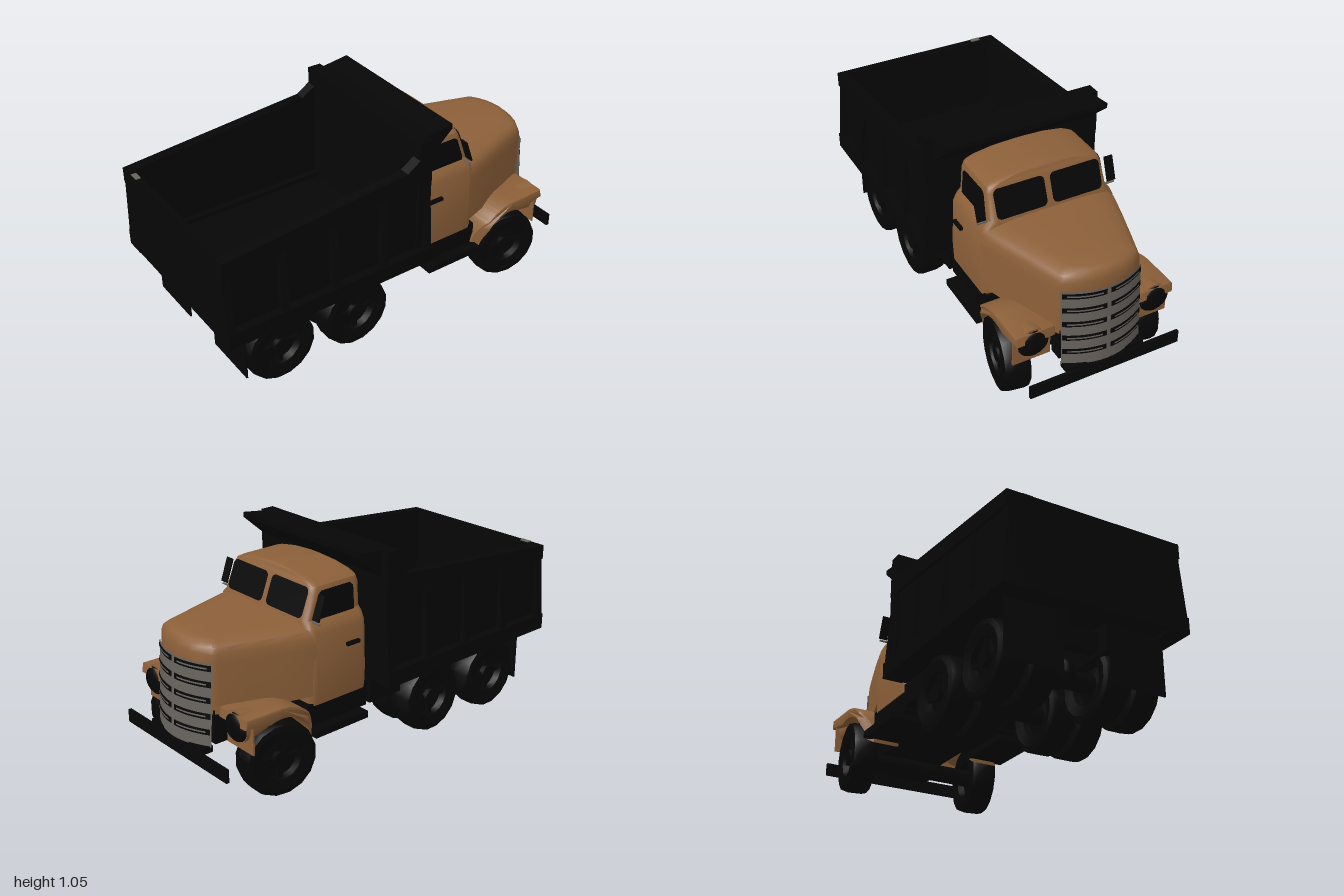
import * as THREE from 'three';
import { toCreasedNormals } from 'three/addons/utils/BufferGeometryUtils.js';

const mat = (name, color) => new THREE.MeshStandardMaterial({ name, color, side: THREE.DoubleSide });

export function createModel() {
  const truck = new THREE.Group();
  truck.name = 'dumpTruck';
  const paint = mat('tanPaint', 0x8c6039);
  const black = mat('black', 0x060606);
  const grey = mat('grilleGrey', 0x67635d);

  const add = (name, geo, material, x = 0, y = 0, z = 0, parent = truck) => {
    const m = new THREE.Mesh(geo, material);
    m.name = name;
    m.position.set(x, y, z);
    parent.add(m);
    return m;
  };
  // Box given by its limits
  const box = (name, m, x0, x1, y0, y1, z0, z1) =>
    add(name, new THREE.BoxGeometry(x1 - x0, y1 - y0, z1 - z0), m, (x0 + x1) / 2, (y0 + y1) / 2, (z0 + z1) / 2);
  const shapeOf = (pts) => new THREE.Shape(pts.map(([x, y]) => new THREE.Vector2(x, y)));
  // Side profile extruded across z
  const slab = (name, m, pts, z0, z1) =>
    add(name, new THREE.ExtrudeGeometry(shapeOf(pts), { depth: z1 - z0, bevelEnabled: false }), m, 0, 0, z0);
  // Run for both sides of the truck
  const both = (fn) => [1, -1].forEach(fn);
  const sided = (s, a, b) => (s > 0 ? [a, b] : [-b, -a]);

  // Closed body from stacked horizontal rings, counter-clockwise seen from above
  const stack = (rings, crown) => {
    const n = rings[0].length, pos = rings.flat(2), idx = [], L = rings.length;
    for (let i = 0; i < L - 1; i++) for (let j = 0; j < n; j++) {
      const k = (j + 1) % n, a = i * n + j, b = i * n + k, c = a + n, d = b + n;
      idx.push(a, b, d, a, d, c);
    }
    const mid = (r, dy) => [(r[0][0] + r[n >> 1][0]) / 2, r[0][1] + dy, 0];
    pos.push(...mid(rings[0], 0), ...mid(rings[L - 1], crown));
    for (let j = 0; j < n; j++) {
      const k = (j + 1) % n, t = (L - 1) * n;
      idx.push(L * n, k, j, L * n + 1, t + j, t + k);
    }
    const g = new THREE.BufferGeometry();
    g.setAttribute('position', new THREE.Float32BufferAttribute(pos, 3));
    g.setIndex(idx);
    return toCreasedNormals(g, 0.6);
  };

  // Cab: rounded rectangles, [y, back, front, half width]
  const cabLayers = [[0.35, 0.13, 0.475, 0.35], [0.45, 0.13, 0.475, 0.355], [0.69, 0.13, 0.472, 0.347],
    [0.725, 0.13, 0.47, 0.33], [0.75, 0.13, 0.465, 0.306], [0.87, 0.13, 0.419, 0.298], [0.895, 0.133, 0.41, 0.288],
    [0.912, 0.138, 0.402, 0.255], [0.928, 0.142, 0.396, 0.17], [0.938, 0.15, 0.388, 0.06]];
  const roundRing = ([y, xb, xf, w]) => {
    const ring = [], r = Math.min(0.035, w / 2);
    [[xf - r, -w + r, 0], [xb + r, -w + r, 1], [xb + r, w - r, 2], [xf - r, w - r, 3]].forEach(([cx, cz, q]) => {
      for (let i = 0; i <= 4; i++) {
        const a = (q + i / 4) * Math.PI / 2;
        ring.push([cx + r * Math.cos(a), y, cz - r * Math.sin(a)]);
      }
    });
    return ring;
  };
  add('cab', stack(cabLayers.map(roundRing), 0.003), paint);

  // Hood: tapering plan with a rounded nose, [y, width scale, nose setback]
  const plan = [[0.44, 0.35], [0.47, 0.345], [0.6, 0.305], [0.75, 0.255], [0.88, 0.21], [0.9, 0.2],
    [0.928, 0.15], [0.948, 0.09], [0.957, 0]];
  const fullPlan = [...plan, ...plan.slice(0, -1).reverse().map(([x, z]) => [x, -z])];
  const hoodLayers = [[0.4, 1, 0], [0.64, 1, 0], [0.685, 0.985, 0.002], [0.712, 0.94, 0.01], [0.728, 0.85, 0.024],
    [0.737, 0.65, 0.045], [0.741, 0.35, 0.07]];
  add('hood', stack(hoodLayers.map(([y, s, d]) =>
    fullPlan.map(([x, z]) => [x - d * (x - 0.44) / 0.52, y, z * s])), 0.003), paint);

  // Grille: bowed, leaning panel with slots
  const grillePatch = (y0, y1, z0, z1, out) => {
    const g = new THREE.PlaneGeometry(1, 1, 12, 4), p = g.attributes.position;
    for (let i = 0; i < p.count; i++) {
      const z = z1 - (p.getX(i) + 0.5) * (z1 - z0), y = y0 + (p.getY(i) + 0.5) * (y1 - y0);
      p.setXYZ(i, 0.968 + out + (0.64 - y) * 0.07 - 0.06 * (z / 0.2) ** 2, y, z);
    }
    g.computeVertexNormals();
    return g;
  };
  add('grille', grillePatch(0.25, 0.645, -0.205, 0.205, 0), grey);
  box('radiator', black, 0.84, 0.905, 0.255, 0.42, -0.2, 0.2);
  for (let i = 0; i < 5; i++) both((s) => {
    const y = 0.324 + i * 0.075;
    const [a, b] = sided(s, 0.01, 0.202);
    add('grilleSlot', grillePatch(y - 0.014, y + 0.014, a, b, 0.004), black);
    const [c, d] = sided(s, 0.03, 0.185);
    add('grilleBar', grillePatch(y - 0.004, y + 0.004, c, d, 0.007), grey);
  });

  const roundPane = (x0, x1, y0, y1, r) => {
    const s = new THREE.Shape();
    s.absarc(x1 - r, y1 - r, r, 0, Math.PI / 2);
    s.absarc(x0 + r, y1 - r, r, Math.PI / 2, Math.PI);
    s.absarc(x0 + r, y0 + r, r, Math.PI, Math.PI * 1.5);
    s.absarc(x1 - r, y0 + r, r, Math.PI * 1.5, Math.PI * 2);
    return s;
  };
  both((s) => {
    // Windscreen panes lie on the sloping cab front
    const [a, b] = sided(s, 0.015, 0.274);
    const g = new THREE.ShapeGeometry(roundPane(a, b, 0.757, 0.893, 0.025)).rotateY(Math.PI / 2);
    const p = g.attributes.position;
    for (let i = 0; i < p.count; i++) p.setX(i, 0.47 - (p.getY(i) - 0.75) * 0.383);
    g.computeVertexNormals();
    add('windscreenPane', g, black);

    // Side window, door handle, mirror
    const w = new THREE.ShapeGeometry(shapeOf([[0.18, 0.747], [0.417, 0.747], [0.417, 0.77], [0.388, 0.865],
      [0.37, 0.878], [0.2, 0.878], [0.18, 0.86]]));
    const q = w.attributes.position;
    for (let i = 0; i < q.count; i++) q.setZ(i, s * (0.311 - (q.getY(i) - 0.75) * 0.068));
    w.computeVertexNormals();
    add('sideWindow', w, black);
    box('doorHandle', black, 0.19, 0.265, 0.597, 0.613, ...sided(s, 0.345, 0.366));
    box('mirror', black, 0.413, 0.421, 0.755, 0.875, ...sided(s, 0.318, 0.362)).rotation.z = 0.34;
    box('mirrorArm', grey, 0.425, 0.435, 0.742, 0.748, ...sided(s, 0.3, 0.36));

    // Step below the door
    box('cabSill', black, 0.13, 0.49, 0.25, 0.36, ...sided(s, 0.14, 0.345));
    box('step', black, 0.17, 0.49, 0.215, 0.25, ...sided(s, 0.2, 0.4));

    // Front fender arch, drawn in towards the cab at its rear end
    const f = new THREE.Shape();
    f.moveTo(0.475, 0.225);
    f.absarc(0.7, 0.21, 0.22, Math.PI, Math.PI / 2, true);
    f.lineTo(0.875, 0.432);
    f.lineTo(0.88, 0.405);
    f.lineTo(0.76, 0.385);
    f.absarc(0.69, 0.2, 0.195, Math.PI * 0.4, Math.PI * 0.96, false);
    const fg = new THREE.ExtrudeGeometry(f, { depth: 0.18, bevelThickness: 0.01, bevelSize: 0.01, bevelSegments: 2, curveSegments: 14 });
    fg.translate(0, 0, s > 0 ? 0.22 : -0.4);
    const fp = fg.attributes.position;
    for (let i = 0; i < fp.count; i++) {
      const limit = 0.345 + Math.max(0, fp.getX(i) - 0.465) * 0.8;
      fp.setZ(i, s * Math.min(Math.abs(fp.getZ(i)), limit));
    }
    add('fender', toCreasedNormals(fg, 0.7), paint);
    box('fenderFront', paint, 0.843, 0.851, 0.26, 0.42, ...sided(s, 0.215, 0.405));
    // Headlight in its pod
    add('headlightPod', new THREE.CylinderGeometry(0.078, 0.055, 0.15, 20).rotateZ(-Math.PI / 2), paint, 0.8, 0.377, s * 0.316);
    add('headlight', new THREE.SphereGeometry(0.076, 20, 10).scale(0.33, 0.9, 1), black, 0.875, 0.377, s * 0.316);
  });

  // Chassis and bumper
  both((s) => {
    box('chassisRail', black, -0.9, 0.93, 0.25, 0.38, ...sided(s, 0.1, 0.16));
    box('sideTank', black, -0.08, 0.12, 0.26, 0.375, ...sided(s, 0.18, 0.36));
    box('mudFlap', black, -0.892, -0.884, 0.1, 0.38, ...sided(s, 0.12, 0.41));
  });
  box('bumper', black, 0.974, 0.99, 0.17, 0.235, -0.39, 0.39);
  box('bumperBracket', black, 0.92, 0.98, 0.225, 0.255, -0.2, 0.2);
  box('engine', black, 0.4, 0.88, 0.25, 0.42, -0.17, 0.17);
  box('gearbox', black, 0.12, 0.4, 0.25, 0.36, -0.1, 0.1);
  for (const x of [-0.8, -0.48, -0.1]) box('crossMember', black, x - 0.03, x + 0.03, 0.27, 0.36, -0.16, 0.16);
  const shaft = add('driveShaft', new THREE.CylinderGeometry(0.02, 0.02, 0.95, 8), black, -0.2, 0.275, 0);
  shaft.rotation.z = Math.PI / 2;

  // Wheels, resting on a flat facet
  const profile = [[0.04, 0.03], [0.095, 0.02], [0.1, 0.055], [0.15, 0.067], [0.174, 0.06], [0.181, 0.035]];
  const tyreCurve = [...profile.map(([r, y]) => [r, -y]), ...profile.slice().reverse()].map(([r, y]) => new THREE.Vector2(r, y));
  const tyre = toCreasedNormals(new THREE.LatheGeometry(tyreCurve, 16).rotateX(Math.PI / 2).rotateZ(Math.PI / 16), 0.5);
  const wheel = (name, x, z, s, steer = 0) => {
    const g = new THREE.Group();
    g.name = name;
    g.position.set(x, 0.178, z);
    g.rotation.y = steer;
    add('tyre', tyre, black, 0, 0, 0, g);
    add('hub', new THREE.CylinderGeometry(0.042, 0.042, 0.1, 12).rotateX(Math.PI / 2), black, 0, 0, s * 0.005, g);
    for (let i = 0; i < 4; i++) {
      const a = i * Math.PI / 2;
      const lug = add('rimSpoke', new THREE.BoxGeometry(0.055, 0.025, 0.03), black, 0.068 * Math.cos(a), 0.068 * Math.sin(a), s * 0.025, g);
      lug.rotation.z = a;
    }
    truck.add(g);
  };
  const axle = (x) => add('axle', new THREE.CylinderGeometry(0.045, 0.045, 0.6, 10).rotateX(Math.PI / 2), black, x, 0.178, 0);
  for (const x of [-0.69, -0.27]) {
    both((s) => {
      wheel('rearInnerWheel', x, s * 0.186, s);
      wheel('rearOuterWheel', x, s * 0.342, s);
    });
    axle(x);
    add('differential', new THREE.SphereGeometry(0.07, 12, 8), black, x, 0.205, 0);
  }
  both((s) => wheel('frontWheel', 0.68, s * 0.343, s, -0.17));
  axle(0.68);

  // Dump bed
  box('bedFloor', black, -0.99, 0.11, 0.385, 0.43, -0.42, 0.42);
  box('bedHeadboard', black, 0.04, 0.11, 0.38, 1.035, -0.455, 0.455);
  box('tailgate', black, -1, -0.965, 0.38, 0.825, -0.45, 0.45);
  both((s) => {
    slab('bedSide', black, [[-1, 0.42], [0.11, 0.42], [0.11, 0.83], [-1, 0.76]], ...sided(s, 0.41, 0.44));
    slab('bedTopRail', black, [[-1, 0.75], [0, 0.82], [0.11, 0.82], [0.11, 0.95], [0.04, 0.95], [-0.03, 0.905],
      [-1, 0.825]], ...sided(s, 0.405, 0.457));
    box('bedBottomRail', black, -1, 0.11, 0.375, 0.455, ...sided(s, 0.38, 0.482));
    // Tapered ribs
    for (const x of [-0.98, -0.7, -0.43, -0.16, 0.09]) {
      const top = 0.81 + x * 0.06;
      const rib = new THREE.ExtrudeGeometry(shapeOf([[0.42, 0.45], [0.475, 0.45], [0.448, top], [0.42, top]]),
        { depth: 0.04, bevelEnabled: false }).rotateY(-Math.PI / 2);
      if (s < 0) rib.rotateY(Math.PI);
      add('bedRib', rib, black, x + s * 0.02, 0, 0);
    }
  });
  slab('cabGuard', black, [[0.1, 0.92], [0.125, 0.92], [0.25, 1.03], [0.25, 1.055], [0.14, 1.04], [0.1, 1.036]], -0.42, 0.42);
  box('tailgateLatch', grey, -0.998, -0.972, 0.82, 0.829, -0.375, -0.325);

  return truck;
}
